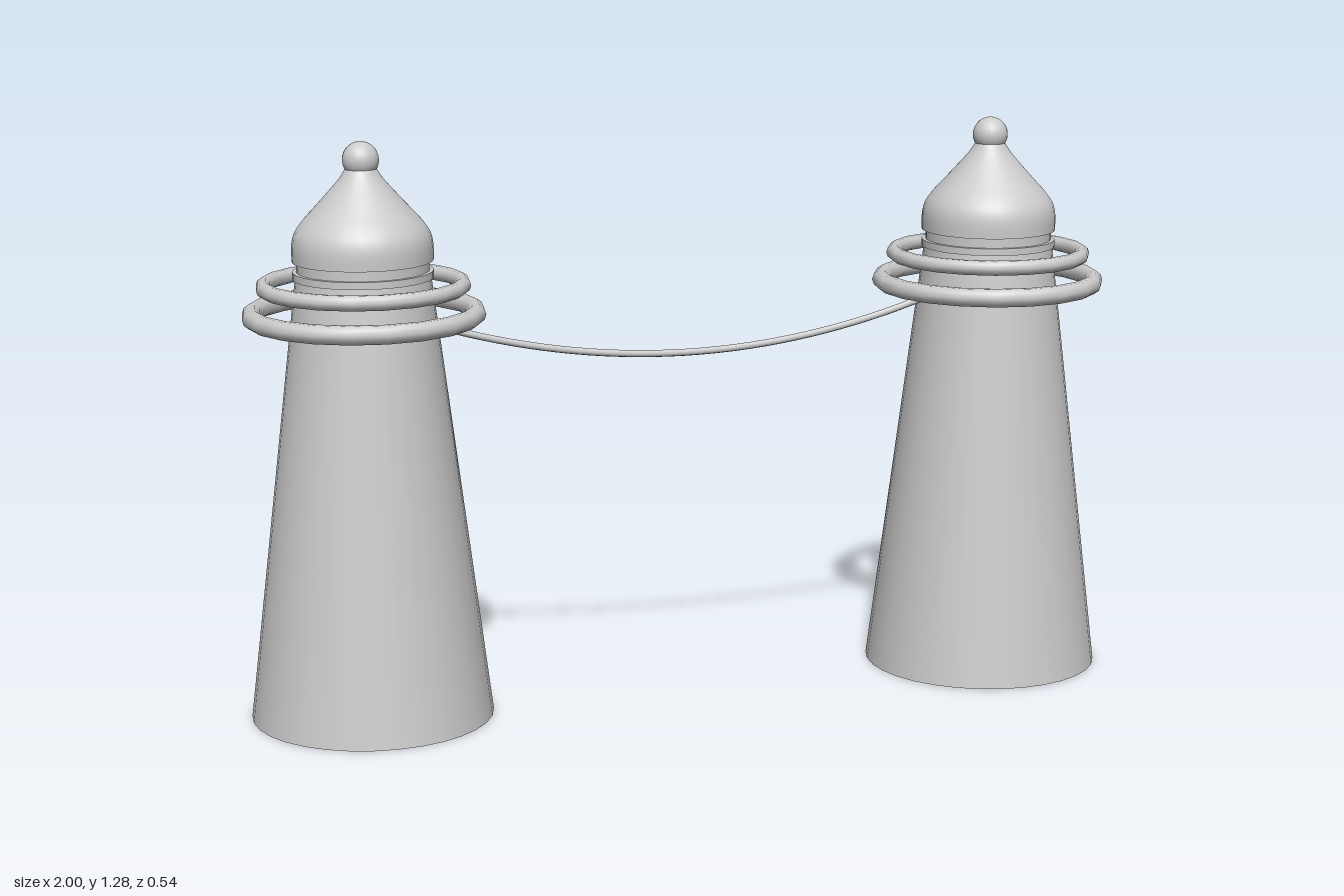
import * as THREE from 'three';

const material = new THREE.MeshStandardMaterial({ color: 0xcccccc });

function part(name, geometry, y = 0) {
  const mesh = new THREE.Mesh(geometry, material);
  mesh.name = name;
  mesh.position.y = y;
  return mesh;
}

// Horizontal ring hanging free around the tower
function ring(name, radius, tube, y) {
  return part(name, new THREE.TorusGeometry(radius, tube, 10, 20).rotateX(Math.PI / 2), y);
}

function createTower(name, x) {
  const tower = new THREE.Group();
  tower.name = name;
  tower.position.x = x;

  // Tapered body, narrow neck and thin collar
  tower.add(part('body', new THREE.CylinderGeometry(0.147, 0.269, 0.99, 32), 0.495));
  tower.add(part('neck', new THREE.CylinderGeometry(0.144, 0.144, 0.06, 32), 1.005));
  tower.add(part('collar', new THREE.CylinderGeometry(0.153, 0.153, 0.016, 32), 0.995));

  // Bell-shaped cap: closed underside, then a smooth curved side
  const curve = new THREE.SplineCurve([
    [0.153, 1.025], [0.153, 1.06], [0.146, 1.088], [0.128, 1.114],
    [0.104, 1.14], [0.075, 1.172], [0.049, 1.202], [0.032, 1.228],
  ].map(([r, y]) => new THREE.Vector2(r, y)));
  tower.add(part('cap', new THREE.LatheGeometry(curve.getPoints(24), 32)));
  tower.add(part('capUnderside', new THREE.CircleGeometry(0.153, 32).rotateX(Math.PI / 2), 1.025));
  tower.add(part('finial', new THREE.SphereGeometry(0.04, 20, 14), 1.244));

  tower.add(ring('upperRing', 0.217, 0.017, 0.97));
  tower.add(ring('lowerRing', 0.245, 0.021, 0.907));
  return tower;
}

export function createModel() {
  const model = new THREE.Group();
  model.name = 'twinTowers';
  model.add(createTower('rightTower', -0.731), createTower('leftTower', 0.731));

  // Sagging rope between the towers
  const points = [];
  for (let i = 0; i <= 12; i++) {
    const t = i / 6 - 1;
    points.push(new THREE.Vector3(t * 0.58, 0.778 + 0.096 * t * t, 0));
  }
  const path = new THREE.CatmullRomCurve3(points);
  model.add(part('rope', new THREE.TubeGeometry(path, 32, 0.008, 8)));
  return model;
}
